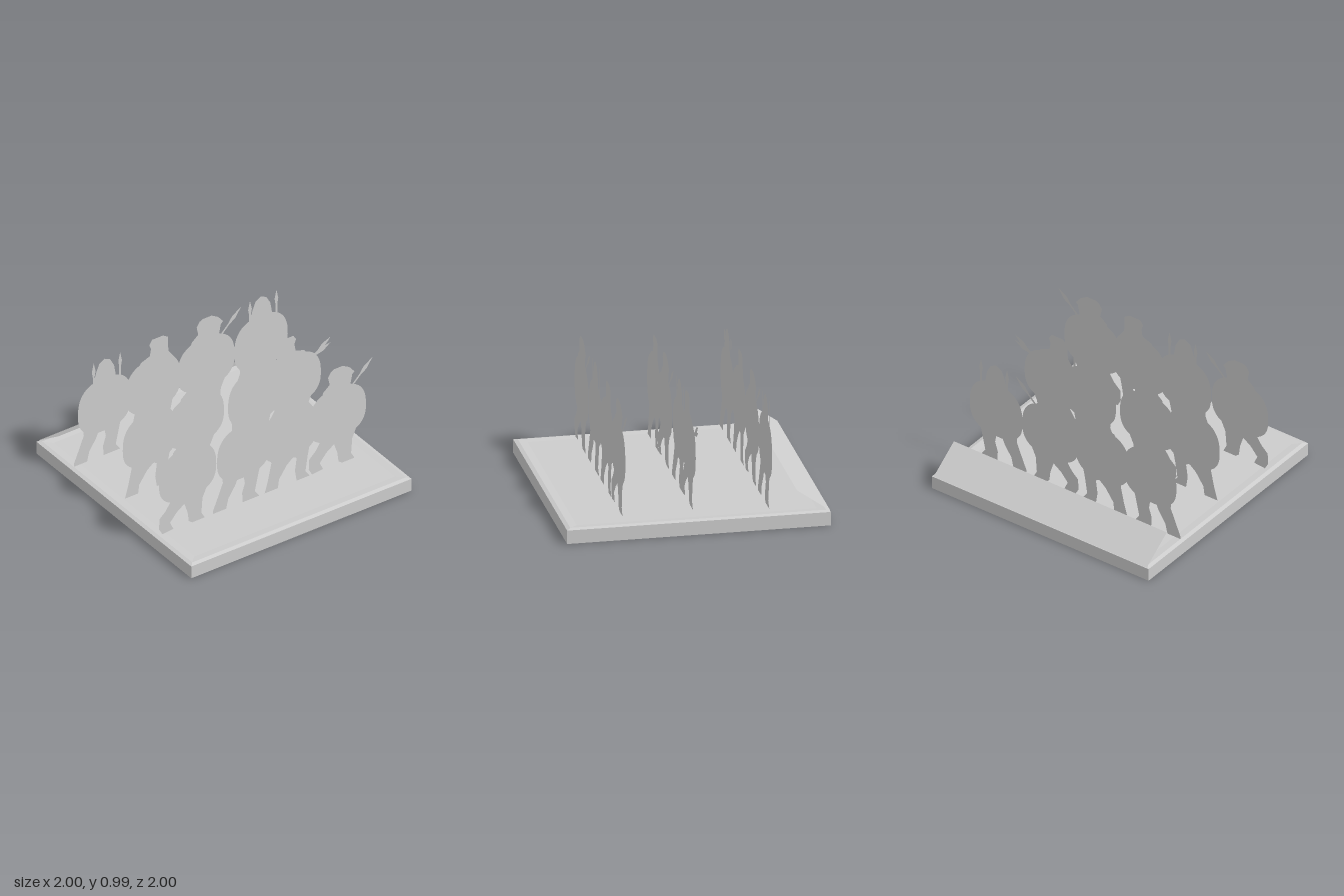
import * as THREE from 'three';

const stone = new THREE.MeshStandardMaterial({ color: 0xcccccc });
stone.name = 'grey';
const cutout = new THREE.MeshStandardMaterial({ color: 0xcccccc, side: THREE.DoubleSide });
cutout.name = 'grey cutout';

const flat = (pts) => new THREE.ShapeGeometry(new THREE.Shape(pts.map(([x, y]) => new THREE.Vector2(x, y))));
const mirrored = (pts) => pts.map(([x, y]) => [-x, y]);

// Tall barrel-shaped shield outline
function shield(halfWidth, bottom, top) {
  const pts = [], mid = (top + bottom) / 2 - 0.02;
  for (let i = 0; i < 56; i++) {
    const a = (i / 56) * Math.PI * 2, s = Math.sin(a), c = Math.cos(a);
    const h = s > 0 ? top - mid : mid - bottom;
    pts.push([Math.sign(c) * Math.abs(c) ** 0.8 * halfWidth, mid + Math.sign(s) * Math.abs(s) ** 0.78 * h]);
  }
  return flat(pts);
}

// Shaft with a leaf-shaped blade, running from (x0, y0) to the tip (x1, y1)
function spear(x0, y0, x1, y1, blade, w) {
  const dx = x1 - x0, dy = y1 - y0, len = Math.hypot(dx, dy), b = len - blade;
  const pts = [[-0.008, 0], [-0.008, b], [-w, b + blade * 0.4], [0, len], [w, b + blade * 0.4], [0.008, b], [0.008, 0]];
  const geo = flat(pts);
  geo.rotateZ(Math.atan2(-dx, dy));
  geo.translate(x0, y0, 0);
  return geo;
}

// Striding warrior with a brimmed helmet and a slanted spear
const strider = {
  shield: shield(0.26, 0.345, 0.81),
  head: flat([[-0.16, 0.7], [-0.13, 0.81], [-0.07, 0.86], [-0.085, 0.93], [-0.06, 0.97], [-0.03, 0.985], [0.05, 0.985],
    [0.11, 0.95], [0.155, 0.895], [0.135, 0.875], [0.12, 0.8], [0.16, 0.7]]),
  legs: flat([[-0.18, 0.45], [-0.16, 0.37], [-0.2, 0.31], [-0.255, 0.26], [-0.26, 0.17], [-0.23, 0.115], [-0.13, 0.125],
    [-0.16, 0.19], [-0.1, 0.26], [-0.03, 0.31], [0, 0.22], [0.01, 0.14], [0.04, 0.115], [0.155, 0.115],
    [0.125, 0.17], [0.135, 0.3], [0.18, 0.4], [0.18, 0.45]]),
  spear: spear(0.09, 0.73, 0.32, 0.96, 0.16, 0.02),
};

// Hooded warrior between two upright spears
const guard = {
  shield: shield(0.243, 0.335, 0.81),
  head: flat([[-0.15, 0.7], [-0.1, 0.81], [-0.075, 0.89], [-0.05, 0.95], [0, 0.98], [0.05, 0.955], [0.085, 0.89],
    [0.1, 0.8], [0.15, 0.7]]),
  legs: flat([[-0.2, 0.45], [-0.19, 0.36], [-0.23, 0.26], [-0.28, 0.14], [-0.28, 0.115], [-0.16, 0.115], [-0.14, 0.2],
    [-0.08, 0.29], [-0.06, 0.335], [0, 0.335], [0.01, 0.28], [-0.015, 0.2], [-0.01, 0.115], [0.14, 0.115],
    [0.1, 0.17], [0.14, 0.35], [0.17, 0.45]]),
  leftSpear: spear(0.14, 0.6, 0.14, 0.985, 0.13, 0.017),
  rightSpear: spear(-0.1, 0.6, -0.1, 0.98, 0.13, 0.017),
};

// Broad warrior with a flat-topped helmet
const flatHelmet = [[-0.18, 0.7], [-0.11, 0.81], [-0.03, 0.84], [-0.02, 0.9], [-0.035, 0.94], [-0.01, 0.98], [0.09, 0.98],
  [0.135, 0.95], [0.135, 0.88], [0.14, 0.82], [0.2, 0.74]];
const bearer = {
  shield: shield(0.25, 0.335, 0.81),
  head: flat(flatHelmet),
  legs: flat([[-0.18, 0.45], [-0.17, 0.36], [-0.2, 0.22], [-0.23, 0.115], [-0.11, 0.115], [-0.1, 0.19], [-0.03, 0.29],
    [0.03, 0.34], [0.06, 0.32], [0.045, 0.21], [0.06, 0.115], [0.18, 0.115], [0.14, 0.17], [0.16, 0.3], [0.19, 0.45]]),
};

// Warrior looking the other way, with a pair of lowered spears
const lancer = {
  shield: strider.shield,
  head: flat(mirrored(flatHelmet)),
  legs: strider.legs,
  upperSpear: spear(0.1, 0.66, 0.35, 0.84, 0.14, 0.02),
  lowerSpear: spear(0.1, 0.68, 0.35, 0.79, 0.14, 0.02),
};

// Every rank is listed from the model's right to its left
const ranks = [
  { z: 0.54, men: [[strider, -0.71], [guard, -0.2], [bearer, 0.22], [strider, 0.65]] },
  { z: 0, men: [[bearer, -0.67], [strider, -0.26], [guard, 0.28], [lancer, 0.62]] },
  { z: -0.56, men: [[guard, -0.69], [bearer, -0.25], [strider, 0.23], [guard, 0.73]] },
];

export function createModel() {
  const model = new THREE.Group();
  model.name = 'warriorBlock';
  const add = (parent, name, geo, mat) => {
    const mesh = new THREE.Mesh(geo, mat);
    mesh.name = name;
    parent.add(mesh);
    return mesh;
  };

  // Square base with a shallow rim around its sunken top
  add(model, 'base', new THREE.BoxGeometry(2, 0.106, 2), stone).position.y = 0.053;
  const rim = [[1, 0.106], [0.97, 0.115], [0.91, 0.11], [0, 0.11]];
  const profile = rim.map(([r, y]) => new THREE.Vector2(r * Math.SQRT2, y));
  const top = new THREE.LatheGeometry(profile, 4).toNonIndexed();
  top.rotateY(Math.PI / 4);
  top.computeVertexNormals();
  add(model, 'baseTop', top, stone);

  // Panel sloping up from the back edge
  const rise = 0.178, run = 0.253;
  const panel = new THREE.PlaneGeometry(1.965, Math.hypot(rise, run));
  panel.rotateY(Math.PI);
  panel.rotateX(Math.atan2(run, rise));
  add(model, 'backPanel', panel, cutout).position.set(0, 0.111 + rise / 2, -1 + run / 2);

  // Three ranks of flat warriors
  for (const { z, men } of ranks) {
    for (const [parts, x] of men) {
      const warrior = new THREE.Group();
      warrior.name = 'warrior';
      warrior.position.set(x, 0, z);
      for (const [name, geo] of Object.entries(parts)) add(warrior, name, geo, cutout);
      model.add(warrior);
    }
  }
  return model;
}
